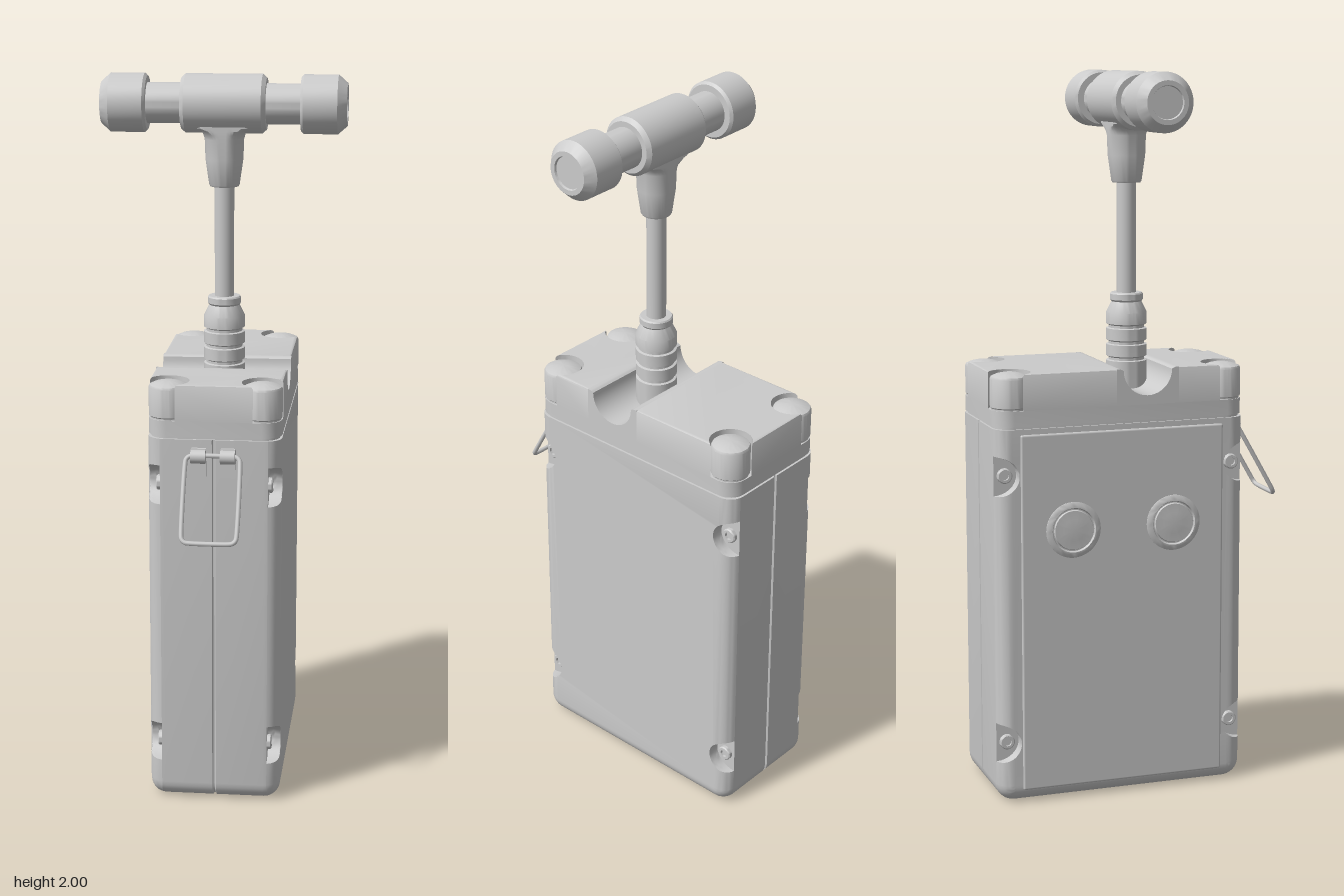
import * as THREE from 'three';
import { toCreasedNormals } from 'three/addons/utils/BufferGeometryUtils.js';
import { RoundedBoxGeometry } from 'three/addons/geometries/RoundedBoxGeometry.js';

const HALF = 0.182, FRONT = 0.288, BACK = -0.432, TOP = 1.05;
const mat = new THREE.MeshStandardMaterial({ color: 0xcccccc });
const v2 = (x, y) => new THREE.Vector2(x, y);

function arc(cx, cy, rx, ry, a0, a1, n = 6) {
  return Array.from({ length: n + 1 }, (_, i) => {
    const a = a0 + (a1 - a0) * i / n;
    return v2(cx + rx * Math.cos(a), cy + ry * Math.sin(a));
  });
}

function roundRect(x0, x1, y0, y1, r, n = 8) {
  const q = Math.PI / 2;
  return [
    ...arc(x0 + r, y0 + r, r, r, 2 * q, 3 * q, n), ...arc(x1 - r, y0 + r, r, r, 3 * q, 4 * q, n),
    ...arc(x1 - r, y1 - r, r, r, 0, q, n), ...arc(x0 + r, y1 - r, r, r, q, 2 * q, n),
  ];
}

// Capped solid through matching counter-clockwise outlines; layers are [height, outline]
function loft(layers, place) {
  const n = layers[0][1].length, pos = [], idx = [];
  for (const [w, outline] of layers) for (const p of outline) pos.push(...place(p.x, p.y, w));
  for (let k = 0; k < layers.length - 1; k++) {
    for (let i = 0; i < n; i++) {
      const a = k * n + i, b = k * n + (i + 1) % n;
      idx.push(a, b, b + n, a, b + n, a + n);
    }
  }
  const last = (layers.length - 1) * n;
  for (const [a, b, c] of THREE.ShapeUtils.triangulateShape(layers[0][1].slice(), [])) idx.push(c, b, a);
  for (const [a, b, c] of THREE.ShapeUtils.triangulateShape(layers.at(-1)[1].slice(), [])) idx.push(last + a, last + b, last + c);
  // turn the faces outward if the placement mirrors the solid
  const P = i => new THREE.Vector3().fromArray(pos, i * 3);
  let volume = 0;
  for (let i = 0; i < idx.length; i += 3) volume += P(idx[i]).dot(P(idx[i + 1]).cross(P(idx[i + 2])));
  if (volume < 0) idx.reverse();
  const g = new THREE.BufferGeometry();
  g.setAttribute('position', new THREE.Float32BufferAttribute(pos, 3));
  g.setIndex(idx);
  return toCreasedNormals(g, 0.55);
}

function lathe(points, sides = 40) {
  return toCreasedNormals(new THREE.LatheGeometry(points.map(([r, y]) => v2(r, y)), sides), 0.55);
}

// Side outline (z, y) of the case, shrunk by d, with optional screw pockets in the upright edges
function caseOutline(d, pockets) {
  const z0 = BACK + d, z1 = FRONT - d, r = 0.05 - d, q = Math.PI / 2;
  const pts = [...arc(z0 + r, d + r, r, r, 2 * q, 3 * q), ...arc(z1 - r, d + r, r, r, 3 * q, 4 * q)];
  const A = Math.acos(d / 0.065);
  if (pockets) for (const y of [0.17, 0.92]) pts.push(...arc(FRONT, y, -0.065, 0.055, -A, A, 16));
  pts.push(v2(z1, TOP), v2(z0, TOP));
  if (pockets) for (const y of [0.92, 0.17]) pts.push(...arc(BACK, y, 0.065, 0.055, A, -A, 16));
  return pts;
}

// Lid block outline (x, outward z) with round seats for the corner plugs
function lidOutline(d, edge) {
  const cx = HALF - 0.053, cz = edge - 0.053, R = 0.058;
  const a = Math.acos((0.053 - d) / R);
  const seat = arc(cx, cz, R, R, -a, a - 1.5 * Math.PI, 24);
  return [v2(d - HALF, 0.09), v2(HALF - d, 0.09), ...seat, ...seat.map(p => v2(-p.x, p.y)).reverse()];
}

export function createModel() {
  const model = new THREE.Group();
  const add = (name, geometry, x = 0, y = 0, z = 0, parent = model) => {
    const m = new THREE.Mesh(geometry, mat);
    m.name = name;
    m.position.set(x, y, z);
    parent.add(m);
    return m;
  };

  // Case halves: core with a centre seam, then a rounded outer layer holding the pockets
  const fillet = 0.045, floorX = 0.147, startX = HALF - fillet;
  const layer = (x, pockets) => {
    const s = Math.max(0, (x - startX) / fillet);
    return [x, caseOutline(fillet * (1 - Math.sqrt(Math.max(0, 1 - s * s))), pockets)];
  };
  const a0 = Math.asin((floorX - startX) / fillet);
  const outer = Array.from({ length: 9 }, (_, i) =>
    layer(startX + fillet * Math.sin(a0 + (Math.PI / 2 - a0) * i / 8), true));
  const inner = [[0, caseOutline(0.005, false)], [0.002, caseOutline(0.005, false)],
    [0.005, caseOutline(0, false)], layer(startX, false), layer(floorX, false)];
  const screw = lathe([[0.021, 0], [0.021, 0.009], [0.018, 0.012], [0.011, 0.012], [0.011, 0.005], [0, 0.005]], 24);
  for (const s of [1, -1]) {
    const place = (u, v, w) => [s * w, v, u];
    add('caseCore', loft(inner, place));
    add('caseSide', loft(outer, place));
    for (const y of [0.17, 0.92]) for (const z of [FRONT - 0.031, BACK + 0.031]) {
      add('caseScrew', screw, s * floorX, y, z).rotation.z = -s * Math.PI / 2;
    }
  }

  // Side panel with two round terminals
  add('sidePanel', new RoundedBoxGeometry(0.03, 1.0, 0.585, 3, 0.006), -0.172, 0.535, -0.072);
  const terminal = lathe([[0.078, 0], [0.078, 0.003], [0.068, 0.009], [0.062, 0.009], [0.059, 0.003],
    [0.056, 0.003], [0.054, 0.008], [0.03, 0.01], [0, 0.011]]);
  for (const z of [-0.217, 0.073]) add('terminal', terminal, -0.186, 0.765, z).rotation.z = Math.PI / 2;

  // Lid: gasket, base plate, two end blocks and the grooved middle
  const flat = (u, v, w) => [u, w, v];
  const plate = (d, y0, y1) => {
    const o = roundRect(d - HALF, HALF - d, BACK + d, FRONT - d, 0.053 - d);
    return loft([[y0, o], [y1, o]], flat);
  };
  add('gasket', plate(0.006, 1.04, 1.065));
  add('lidBase', plate(0, 1.057, 1.1));
  for (const [s, edge] of [[1, FRONT], [-1, -BACK]]) {
    const layers = [[1.1, 0], [1.193, 0], [1.198, 0.002], [1.2, 0.006]].map(([y, d]) => [y, lidOutline(d, edge)]);
    add('lidBlock', loft(layers, (u, v, w) => [u, w, s * v]));
  }
  const groove = [v2(-0.09, 1.1), v2(0.09, 1.1), v2(0.09, 1.2), v2(0.08, 1.2), v2(0.074, 1.198),
    ...arc(0, 1.195, 0.07, 0.07, 0, -Math.PI, 20), v2(-0.074, 1.198), v2(-0.08, 1.2), v2(-0.09, 1.2)];
  add('lidGroove', loft([[-HALF, groove], [HALF, groove]], (u, v, w) => [w, v, u]));

  // Domed corner plugs
  const plug = lathe([[0.05, 1.095], [0.05, 1.104], [0.053, 1.107], [0.053, 1.184], [0.05, 1.19],
    [0.036, 1.196], [0.018, 1.2], [0, 1.201]]);
  for (const x of [-1, 1]) for (const z of [FRONT - 0.053, BACK + 0.053]) add('cornerPlug', plug, x * (HALF - 0.053), 0, z);

  // Ribbed boot and plunger rod
  const boot = [[0.057, 1.12], [0.057, 1.2]];
  for (let i = 0; i < 3; i++) {
    const y = 1.2 + i * 0.045;
    boot.push([0.05, y + 0.002], [0.05, y + 0.009], [0.057, y + 0.013], [0.057, y + 0.045]);
  }
  boot.push([0.042, 1.365], [0.046, 1.37], [0.046, 1.386], [0.043, 1.39], [0.02, 1.39]);
  add('boot', lathe(boot));
  add('plungerRod', new THREE.CylinderGeometry(0.027, 0.027, 0.36, 32), 0, 1.55);

  // Handle socket flaring sideways into the grip
  const socket = new THREE.LatheGeometry([[0.02, 1.695], [0.039, 1.695], [0.042, 1.7], [0.052, 1.77], [0.054, 1.825],
    [0.058, 1.838], [0.068, 1.849], [0.085, 1.857], [0.085, 1.9]].map(([r, y]) => v2(r, y)), 40);
  const sp = socket.attributes.position;
  for (let i = 0; i < sp.count; i++) sp.setZ(i, THREE.MathUtils.clamp(sp.getZ(i), -0.054, 0.054));
  add('handleSocket', toCreasedNormals(socket, 0.55));

  // Cross handle: centre sleeve, bars and end knobs
  const half = [[0.08, 0.105], [0.07, 0.116], [0.055, 0.116], [0.055, 0.21], [0.073, 0.21], [0.08, 0.217],
    [0.08, 0.31], [0.058, 0.335], [0.045, 0.335], [0.043, 0.329], [0, 0.329]];
  const handle = lathe([...half.map(([r, y]) => [r, -y]).reverse(), ...half], 48);
  add('crossHandle', handle, 0, 1.92, 0).rotation.z = -Math.PI / 2;

  // Tilted wire bail on two hinge lugs
  const bail = roundRect(-0.074, 0.074, -0.24, 0, 0.018, 4).map(p => new THREE.Vector3(p.x, p.y, 0));
  const wire = new THREE.TubeGeometry(new THREE.CatmullRomCurve3(bail, true), 160, 0.0065, 8, true);
  add('wireBail', wire, 0, 1.01, 0.305).rotation.x = -Math.atan2(0.12, 0.21);
  for (const x of [-0.04, 0.04]) {
    add('hingeLug', new THREE.CylinderGeometry(0.019, 0.019, 0.04, 24), x, 1.008, 0.305).rotation.z = Math.PI / 2;
    add('hingePlate', new THREE.BoxGeometry(0.04, 0.08, 0.014), x, 0.988, 0.291);
  }
  return model;
}
